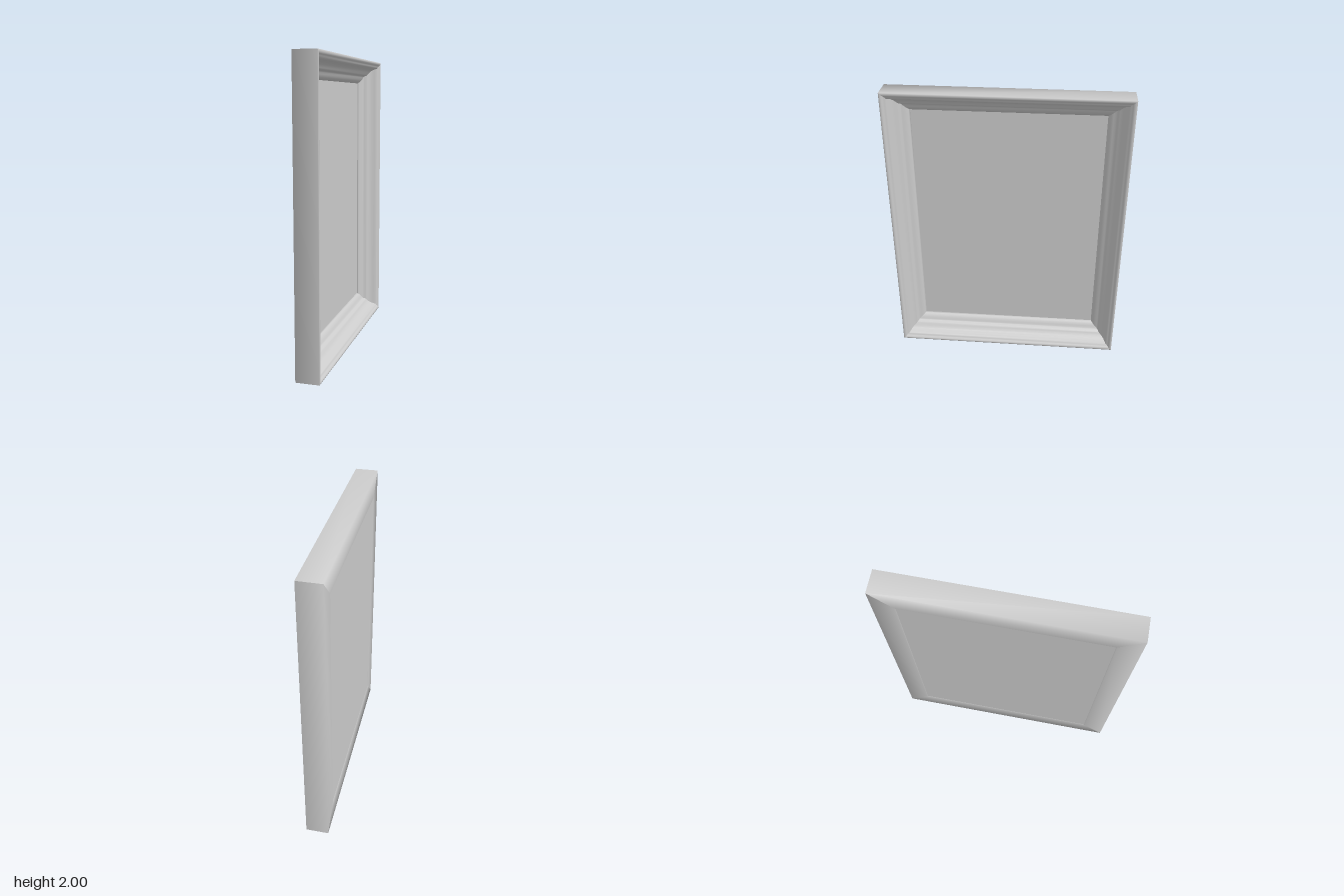
import * as THREE from 'three';

const HALF_W = 0.8;   // half width along z
const HALF_H = 1;     // half height along y

// Moulding section as [inset from the outer edge, x], running round the closed outline
const PROFILE = [
  [0, -0.079], [0, 0.077], [0.006, 0.079], [0.016, 0.079], [0.024, 0.071],
  [0.033, 0.064], [0.044, 0.061], [0.051, 0.042], [0.061, 0.021], [0.075, 0.005],
  [0.092, -0.004], [0.1, -0.011], [0.106, -0.028], [0.114, -0.034], [0.128, -0.039],
  [0.143, -0.048], [0.153, -0.058], [0.16, -0.068], [0.145, -0.079],
];

// Corner signs [z, y] in order round the frame
const CORNERS = [[1, -1], [-1, -1], [-1, 1], [1, 1]];

// One mitred length of moulding between two neighbouring corners
function mouldingGeometry(from, to) {
  const positions = [];
  const indices = [];
  const n = PROFILE.length;
  for (const [inset, x] of PROFILE) {
    for (const [sz, sy] of [from, to]) {
      positions.push(x, HALF_H + sy * (HALF_H - inset), sz * (HALF_W - inset));
    }
  }
  for (let i = 0; i < n; i++) {
    const a = 2 * i, b = a + 1;
    const d = 2 * ((i + 1) % n), c = d + 1;
    indices.push(a, b, c, a, c, d);
  }
  const geometry = new THREE.BufferGeometry();
  geometry.setAttribute('position', new THREE.Float32BufferAttribute(positions, 3));
  geometry.setIndex(indices);
  geometry.computeVertexNormals();
  return geometry;
}

export function createModel() {
  const model = new THREE.Group();
  model.name = 'pictureFrame';
  const material = new THREE.MeshStandardMaterial({ color: 0xcccccc });

  // Four mitred mouldings
  const names = ['bottomRail', 'backStile', 'topRail', 'frontStile'];
  names.forEach((name, i) => {
    const rail = new THREE.Mesh(mouldingGeometry(CORNERS[i], CORNERS[(i + 1) % 4]), material);
    rail.name = name;
    model.add(rail);
  });

  // Thin panel held at the rear of the frame
  const panel = new THREE.Mesh(
    new THREE.BoxGeometry(0.006, 2 * (HALF_H - 0.15), 2 * (HALF_W - 0.15)), material);
  panel.name = 'picturePanel';
  panel.position.set(-0.072, HALF_H, 0);
  model.add(panel);

  return model;
}
